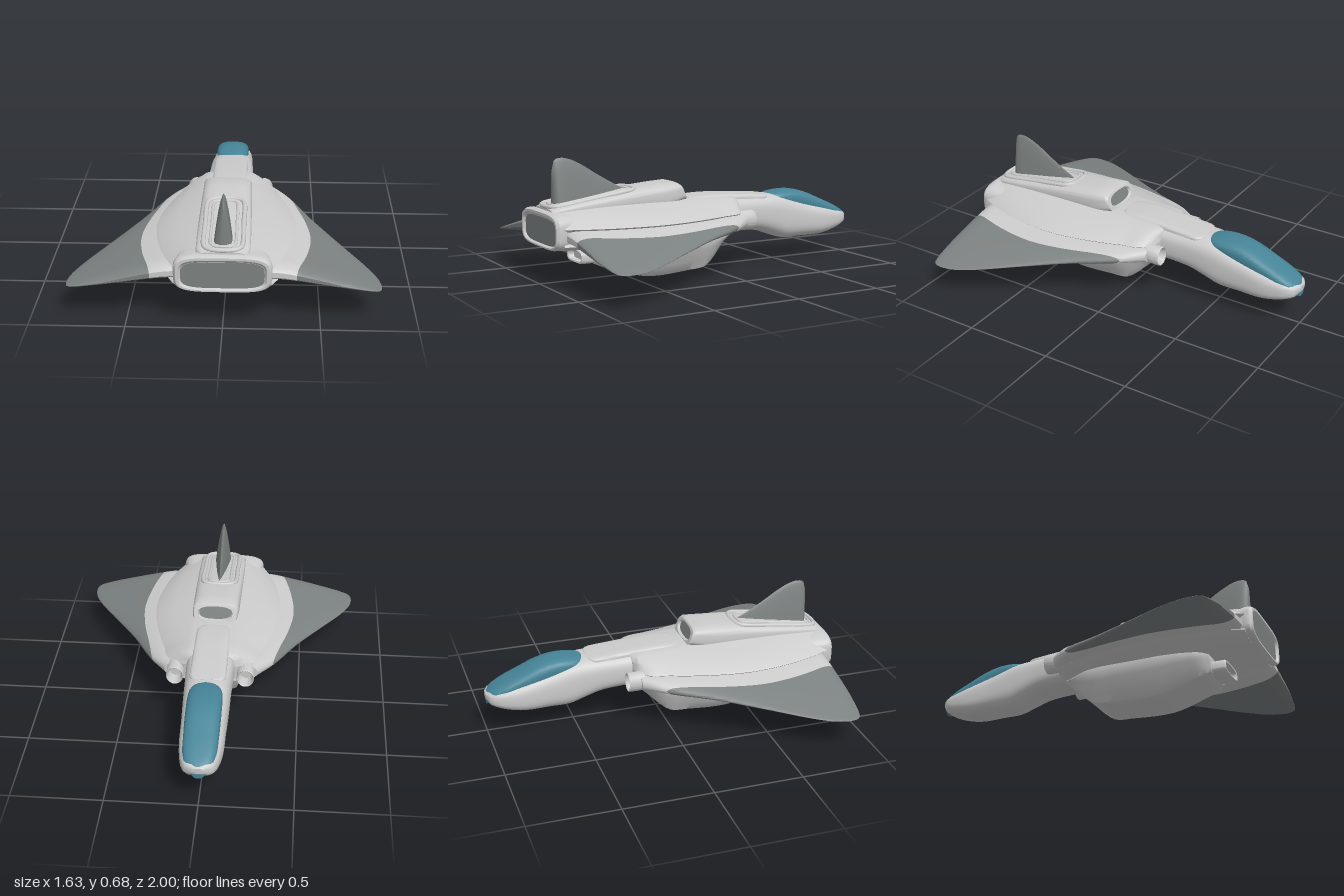
import * as THREE from 'three';
import { toCreasedNormals } from 'three/addons/utils/BufferGeometryUtils.js';

const mat = (color) => new THREE.MeshStandardMaterial({ color, side: THREE.DoubleSide });
const HULL = mat(0xcccccc), DARK = mat(0x7c8281), GLASS = mat(0x468497);

// Smooth lookup through rows of [position, value, value, ...]
function table(rows) {
  const size = rows[0].length - 1;
  const curve = new THREE.CubicInterpolant(rows.map((r) => r[0]), rows.flatMap((r) => r.slice(1)), size);
  return (t) => Array.from(curve.evaluate(t));
}
const range = (a, b, n) => Array.from({ length: n + 1 }, (_, i) => a + ((b - a) * i) / n);

// Skin over rings of points, each counter-clockwise seen from +z, with capped ends
function loft(rings, crease = 0.6) {
  const n = rings[0].length, pos = rings.flat(2), index = [];
  for (let i = 0; i < rings.length - 1; i++) {
    for (let j = 0; j < n; j++) {
      const a = i * n + j, b = i * n + ((j + 1) % n);
      index.push(a, b, a + n, b, b + n, a + n);
    }
  }
  [rings[0], rings[rings.length - 1]].forEach((ring, end) => {
    const c = pos.length / 3, o = end ? (rings.length - 1) * n : 0;
    pos.push(...[0, 1, 2].map((k) => ring.reduce((s, p) => s + p[k], 0) / n));
    for (let j = 0; j < n; j++) {
      const a = o + j, b = o + ((j + 1) % n);
      index.push(c, end ? a : b, end ? b : a);
    }
  });
  const g = new THREE.BufferGeometry();
  g.setAttribute('position', new THREE.Float32BufferAttribute(pos, 3));
  g.setIndex(index);
  return toCreasedNormals(g, crease);
}

// Rounded-box ring; slant leans the ring back towards its top
function oval(z, w, bottom, top, n = 2, x = 0, slant = 0) {
  const cy = (top + bottom) / 2, hh = (top - bottom) / 2;
  return range(0, Math.PI * 2, 48).slice(0, -1).map((a) => {
    const c = Math.cos(a), s = Math.sin(a);
    const y = hh * Math.sign(s) * Math.abs(s) ** (2 / n);
    return [x + w * Math.sign(c) * Math.abs(c) ** (2 / n), cy + y, z + y * slant];
  });
}

// Mirrors a half outline listed from bottom centre to top centre
const mirrorHalf = (half, z) => [
  ...half.map(([x, y]) => [x, y, z]),
  ...half.slice(1, -1).reverse().map(([x, y]) => [-x, y, z]),
];
const mirrorRings = (rings) => rings.map((r) => r.map(([x, y, z]) => [-x, y, z]).reverse());

export function createModel() {
  const model = new THREE.Group();
  const add = (name, geometry, material = HULL) => {
    const mesh = new THREE.Mesh(geometry, material);
    mesh.name = name;
    model.add(mesh);
  };
  const addPair = (name, rings, material) => {
    add('left' + name, loft(rings), material);
    add('right' + name, loft(mirrorRings(rings)), material);
  };

  // Nose and neck: z, half width, bottom, top
  const neck = table([
    [-1, 0.03, 0.21, 0.245], [-0.985, 0.065, 0.188, 0.255], [-0.95, 0.09, 0.168, 0.27], [-0.88, 0.108, 0.143, 0.29],
    [-0.8, 0.118, 0.127, 0.31], [-0.65, 0.122, 0.125, 0.35], [-0.53, 0.126, 0.127, 0.385], [-0.46, 0.128, 0.15, 0.397],
    [-0.36, 0.13, 0.183, 0.4], [-0.25, 0.134, 0.196, 0.402], [-0.1, 0.138, 0.2, 0.408], [0.2, 0.14, 0.2, 0.415],
  ]);
  add('noseAndNeck', loft(range(-1, 0.2, 60).map((z) => oval(z, ...neck(z), 3))));

  // Canopy
  const canopy = table([
    [-0.996, 0.03, 0.247], [-0.975, 0.065, 0.263], [-0.92, 0.086, 0.295], [-0.8, 0.094, 0.35], [-0.7, 0.096, 0.392],
    [-0.62, 0.096, 0.411], [-0.54, 0.094, 0.412], [-0.48, 0.083, 0.405], [-0.45, 0.06, 0.4], [-0.44, 0.03, 0.397],
  ]);
  add('canopy', loft(range(-0.996, -0.44, 40).map((z) => {
    const [w, top] = canopy(z);
    return oval(z, w, neck(z)[2] - 0.07, top, 2.8);
  })), GLASS);

  // Raised spine panel with rounded ends
  const spineTop = table([[-0.42, 0.4], [-0.2, 0.417], [-0.02, 0.425], [0.11, 0.42]]);
  const spineZ = [-0.42, -0.417, -0.41, -0.4, -0.38, ...range(-0.36, 0.05, 10), 0.07, 0.09, 0.1, 0.107, 0.11];
  add('spinePanel', loft(spineZ.map((z) => {
    const d = Math.max(0, -0.37 - z, z - 0.06);
    return oval(z, 0.05 + Math.sqrt(Math.max(0, 0.0025 - d * d)), 0.35, spineTop(z)[0], 5);
  })));

  // Main body with a wing slot along each side: z, edge x, slot depth, bottom half width, bottom, top
  const body = table([
    [-0.18, 0.15, 0.005, 0.11, 0.21, 0.395], [-0.15, 0.215, 0.02, 0.13, 0.2, 0.405], [0, 0.282, 0.06, 0.15, 0.195, 0.412],
    [0.24, 0.35, 0.09, 0.19, 0.185, 0.418], [0.45, 0.375, 0.1, 0.2, 0.185, 0.422], [0.7, 0.345, 0.09, 0.2, 0.19, 0.42],
    [0.88, 0.29, 0.05, 0.2, 0.2, 0.412], [0.96, 0.255, 0.015, 0.2, 0.203, 0.405],
  ]);
  add('mainBody', loft(range(-0.18, 0.96, 46).map((z) => {
    const [e, d, bw, b, t] = body(z);
    const tw = Math.min(0.14, e * 0.75), mx = (e + tw) / 2;
    return mirrorHalf([[0, b], [bw * 0.8, b], [bw, b + 0.006], [e - 0.01, 0.23], [e, 0.236], [e - 0.01, 0.243],
      [e - d, 0.25], [e - d, 0.31], [e - 0.01, 0.32], [e, 0.328], [e - 0.01, 0.336],
      [mx, (0.336 + t) / 2 + 0.002], [tw, t - 0.008], [tw * 0.8, t], [0, t]], z);
  }), 0.7));

  // Main exhaust: outer shell, rolled lip, deep dark throat
  add('exhaustShell', loft([[0.86, 0.235, 0.21, 0.395], [0.96, 0.252, 0.2, 0.405], [0.985, 0.25, 0.2, 0.404],
    [1, 0.238, 0.207, 0.395], [1, 0.225, 0.215, 0.382], [0.985, 0.214, 0.222, 0.368]]
    .map(([z, ...s]) => oval(z, ...s, 4))));
  add('exhaustThroat', loft([[0.987, 0.213, 0.223, 0.367], [0.93, 0.2, 0.23, 0.36], [0.78, 0.12, 0.26, 0.33]]
    .map(([z, ...s]) => oval(z, ...s, 4))), DARK);

  // Dorsal intake housing, slanted at the mouth: z, half width, top, slant
  const hump = [[0.17, 0.125, 0.506, 0.4], [0.185, 0.132, 0.513, 0.38], [0.3, 0.135, 0.508, 0.1], [0.45, 0.137, 0.496, 0],
    [0.6, 0.139, 0.476, 0], [0.8, 0.14, 0.45, 0], [0.93, 0.138, 0.43, 0], [0.97, 0.12, 0.415, 0]];
  add('intakeHousing', loft([
    oval(0.19, 0.092, 0.423, 0.49, 2.6, 0, 0.4), oval(0.17, 0.1, 0.419, 0.497, 2.6, 0, 0.4),
    ...hump.map(([z, w, t, s]) => oval(z, w, s > 0.3 ? 0.405 : 0.36, t, 3.6, 0, s)),
  ]));
  add('intakeThroat', loft([oval(0.26, 0.08, 0.43, 0.48, 2.6), oval(0.184, 0.094, 0.422, 0.491, 2.6, 0, 0.4)]
    ), DARK);

  // Fin rims: rounded rectangles lying on the sloping housing
  const rim = (w, z0, z1, r, lift) => {
    const k = w * 0.6, mid = (z0 + z1) / 2;
    const half = [[k, z0], [w * 0.92, z0 + k * 0.4], [w, z0 + k], [w, mid], [w, z1 - k], [w * 0.92, z1 - k * 0.4], [k, z1]];
    const pts = [...half, ...half.map(([x, z]) => [-x, z]).reverse()]
      .map(([x, z]) => new THREE.Vector3(x, 0.496 - (z - 0.45) * 0.138 + lift, z));
    return new THREE.TubeGeometry(new THREE.CatmullRomCurve3(pts, true), 80, r, 8, true);
  };
  add('outerFinRim', rim(0.1, 0.46, 0.955, 0.013, -0.004));
  add('innerFinRim', rim(0.065, 0.49, 0.93, 0.008, 0));

  // Tail fin: z, half thickness, top
  const fin = table([[0.5, 0.012, 0.492], [0.55, 0.02, 0.518], [0.65, 0.033, 0.575], [0.75, 0.042, 0.637],
    [0.82, 0.048, 0.669], [0.87, 0.05, 0.677], [0.9, 0.045, 0.668], [0.915, 0.032, 0.645], [0.92, 0.012, 0.61]]);
  add('tailFin', loft(range(0.5, 0.92, 32).map((z) => {
    const [w, top] = fin(z);
    return range(1, -1, 24).map((s) => [w * s, 0.41 + (top - 0.41) * (1 - Math.abs(s) ** 1.6), z]);
  }), 0.9), DARK);

  // Wings: outer edge and colour border along z, mid height and half thickness along x
  const outer = table([[-0.16, 0.265], [-0.05, 0.35], [0.2, 0.48], [0.48, 0.645], [0.64, 0.74], [0.76, 0.797],
    [0.82, 0.812], [0.875, 0.814], [0.91, 0.8], [0.93, 0.76], [0.945, 0.62]]);
  const border = table([[-0.05, 0.35], [0.1, 0.385], [0.29, 0.43], [0.5, 0.455], [0.72, 0.432], [0.945, 0.375]]);
  const profile = table([[0.15, 0.281, 0.046], [0.3, 0.277, 0.044], [0.45, 0.252, 0.036], [0.6, 0.222, 0.028], [0.82, 0.178, 0.013]]);
  const wingRing = (z, from, to) => {
    const edge = outer(z)[0], trail = Math.sqrt(1 - (Math.max(0, z - 0.85) / 0.1) ** 2);
    const side = (sign) => range(0, 1, 18).map((f) => {
      const x = from + (to - from) * Math.sin((f * Math.PI) / 2);
      const u = Math.min(1, (x - 0.15) / (edge - 0.15)), [y, h] = profile(x);
      return [x, y + sign * h * trail * Math.sqrt(1 - u ** 4), z];
    });
    return [...side(-1), ...side(1).reverse()];
  };
  const tail = [0.89, 0.905, 0.92, 0.932, 0.94, 0.945];
  addPair('WingRoot', [...range(-0.16, 0.87, 40), ...tail]
    .map((z) => wingRing(z, 0.15, Math.min(outer(z)[0], z < -0.05 ? 1 : border(z)[0]))), HULL);
  addPair('WingPanel', [...range(-0.05, 0.87, 40), ...tail]
    .map((z) => wingRing(z, Math.min(border(z)[0], outer(z)[0]), outer(z)[0])), DARK);

  // Open tubes beside the neck
  addPair('SideTube', [[0.05, 0.04], [-0.1, 0.052], [-0.14, 0.049], [-0.225, 0.049], [-0.23, 0.046], [-0.225, 0.042], [-0.12, 0.03]]
    .reverse().map(([z, r]) => oval(z, r, 0.282 - r * 1.15, 0.282 + r * 1.15, 2, 0.2)), HULL);

  // Belly pod: z, bottom, bottom half width, shoulder half width
  const belly = table([[-0.15, 0.19, 0.07, 0.12], [-0.08, 0.13, 0.1, 0.155], [-0.01, 0.062, 0.125, 0.185], [0.04, 0.025, 0.135, 0.2],
    [0.15, 0.012, 0.14, 0.217], [0.4, 0.003, 0.14, 0.225], [0.48, 0.018, 0.138, 0.222], [0.6, 0.056, 0.132, 0.205],
    [0.69, 0.086, 0.12, 0.17], [0.715, 0.1, 0.1, 0.14]]);
  add('bellyPod', loft(range(-0.15, 0.715, 36).map((z) => {
    const [b, bw, sw] = belly(z), h = 0.2 - b;
    return mirrorHalf([[0, b], [bw * 0.9, b], [bw, b + h * 0.03], [bw + (sw - bw) * 0.35, b + h * 0.3],
      [bw + (sw - bw) * 0.8, b + h * 0.65], [sw, b + h * 0.9], [sw * 0.97, 0.215], [0, 0.22]], z);
  }), 0.7));

  // Small exhaust behind the belly pod
  add('bellyExhaust', loft([[0.66, 0.105, 0.092, 0.178], [0.72, 0.1, 0.097, 0.173], [0.785, 0.1, 0.097, 0.173],
    [0.795, 0.094, 0.102, 0.168], [0.793, 0.084, 0.11, 0.16], [0.76, 0.08, 0.113, 0.157]]
    .map(([z, ...s]) => oval(z, ...s, 4))));

  return model;
}
